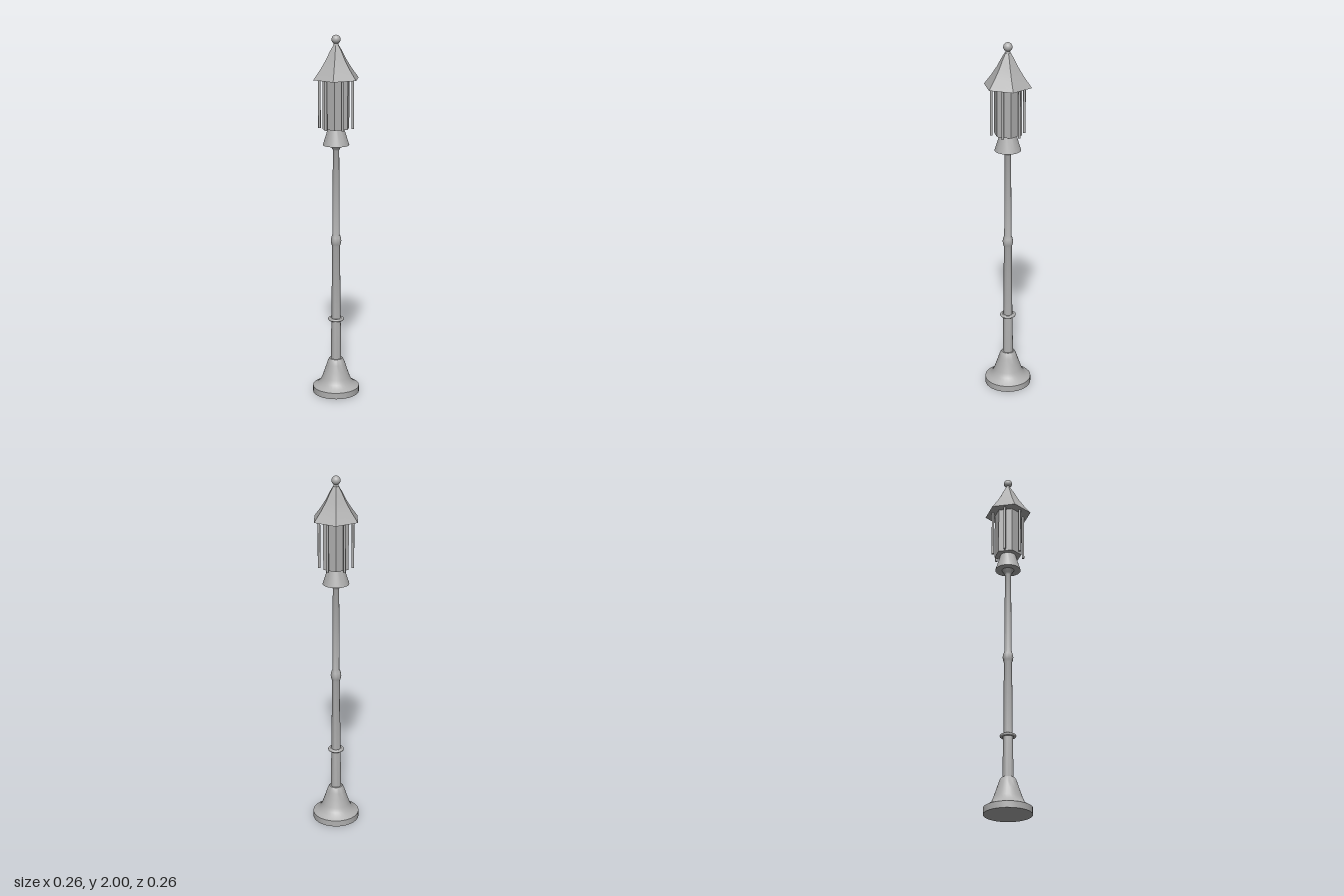
import * as THREE from 'three';
import { toCreasedNormals } from 'three/addons/utils/BufferGeometryUtils.js';

const iron = new THREE.MeshStandardMaterial({ color: 0xb0b0b0 });
iron.name = 'grey iron';

function add(parent, name, geometry, x = 0, y = 0, z = 0) {
  const mesh = new THREE.Mesh(geometry, iron);
  mesh.name = name;
  mesh.position.set(x, y, z);
  parent.add(mesh);
  return mesh;
}

// Turned profile given as [radius, height] from bottom to top; sharp edges stay sharp.
function turned(profile, sides = 32, crease = 0.6) {
  const points = profile.map(([r, y]) => new THREE.Vector2(r, y));
  return toCreasedNormals(new THREE.LatheGeometry(points, sides, Math.PI / 2), crease);
}

export function createModel() {
  const lamp = new THREE.Group();
  lamp.name = 'streetLamp';

  // Round plinth with a bell-shaped foot
  add(lamp, 'base', turned([
    [0, 0], [0.129, 0], [0.129, 0.035], [0.107, 0.047], [0.088, 0.064], [0.077, 0.088],
    [0.063, 0.128], [0.051, 0.165], [0.044, 0.185], [0.036, 0.197], [0, 0.197],
  ]));

  // Tapering pole with a swelling halfway and a flared head
  add(lamp, 'lowerPole', turned([[0.029, 0.19], [0.026, 0.42], [0.025, 0.432]]));
  add(lamp, 'poleRing', new THREE.TorusGeometry(0.036, 0.008, 10, 32).rotateX(Math.PI / 2), 0, 0.428, 0);
  add(lamp, 'ringPlate', new THREE.CylinderGeometry(0.036, 0.036, 0.01, 32), 0, 0.428, 0);
  add(lamp, 'upperPole', turned([
    [0.025, 0.43], [0.022, 0.85], [0.026, 0.862], [0.029, 0.88], [0.026, 0.898], [0.02, 0.915],
    [0.017, 1.385], [0.022, 1.393], [0.034, 1.412],
  ]));

  // Conical collar under the lantern
  add(lamp, 'collar', turned([[0, 1.412], [0.071, 1.412], [0.043, 1.503], [0, 1.503]]));

  // Six-sided lantern with one thin rod standing in front of each pane
  const lantern = new THREE.Group();
  lantern.name = 'lantern';
  lamp.add(lantern);
  add(lantern, 'lanternBody', turned([[0, 1.503], [0.077, 1.503], [0.077, 1.77], [0, 1.77]], 6, 0.1));
  for (let i = 0; i < 6; i++) {
    const a = Math.PI / 6 + i * Math.PI / 3;
    add(lantern, 'lanternRod', new THREE.CylinderGeometry(0.007, 0.007, 0.27, 12),
      0.089 * Math.cos(a), 1.637, 0.089 * Math.sin(a));
  }

  // Six-sided flared roof and ball finial
  add(lamp, 'roof', turned([
    [0, 1.768], [0.131, 1.768], [0.09, 1.822], [0.06, 1.868], [0.035, 1.915], [0.016, 1.945], [0, 1.948],
  ], 6, 0.35));
  add(lamp, 'finialNeck', new THREE.CylinderGeometry(0.011, 0.014, 0.02, 16), 0, 1.95, 0);
  add(lamp, 'finial', new THREE.SphereGeometry(0.024, 24, 16), 0, 1.976, 0);

  return lamp;
}
